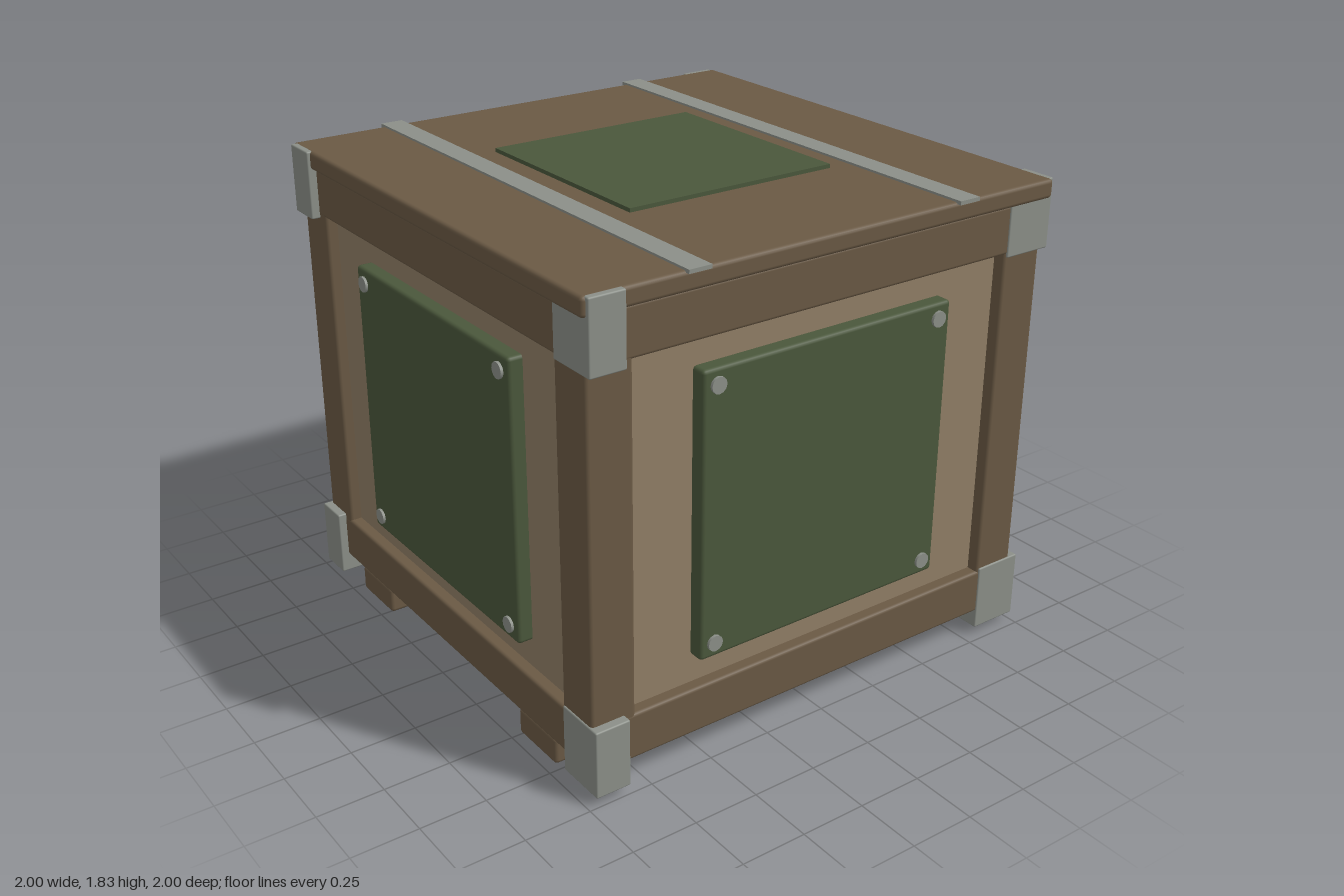
import * as THREE from 'three';
import { RoundedBoxGeometry } from 'three/addons/geometries/RoundedBoxGeometry.js';

const mat = (name, color) => {
  const m = new THREE.MeshStandardMaterial({ color });
  m.name = name;
  return m;
};

export function createModel() {
  const wood = mat('dark wood', 0x6a5944);
  const board = mat('light board', 0x907e66);
  const green = mat('green paint', 0x4a573b);
  const steel = mat('steel', 0x8b8f88);

  const root = new THREE.Group();
  root.name = 'crate';

  // Box given by its min and max corners, with optionally softened edges
  function box(parent, name, material, [x0, y0, z0], [x1, y1, z1], r = 0) {
    const w = x1 - x0, h = y1 - y0, d = z1 - z0;
    const geo = r ? new RoundedBoxGeometry(w, h, d, 2, r) : new THREE.BoxGeometry(w, h, d);
    const mesh = new THREE.Mesh(geo, material);
    mesh.name = name;
    mesh.position.set((x0 + x1) / 2, (y0 + y1) / 2, (z0 + z1) / 2);
    parent.add(mesh);
    return mesh;
  }

  // Body, floor and lid
  box(root, 'body', board, [-0.92, 0.2, -0.92], [0.92, 1.7, 0.92]);
  box(root, 'floor', wood, [-0.88, 0.12, -0.88], [0.88, 0.2, 0.88]);
  box(root, 'lid', wood, [-0.987, 1.74, -0.987], [0.987, 1.811, 0.987], 0.015);

  // Skids under the floor
  for (const z of [-0.605, 0.605]) {
    box(root, 'skid', wood, [-0.96, 0, z - 0.12], [0.96, 0.107, z + 0.12], 0.015);
  }

  // Top straps and top panel
  for (const x of [-0.565, 0.565]) {
    box(root, 'strap', steel, [x - 0.044, 1.805, -1], [x + 0.044, 1.819, 1]);
  }
  box(root, 'topPanel', green, [-0.433, 1.805, -0.433], [0.433, 1.826, 0.433]);

  // Four identical sides, each turned a quarter
  const boltGeo = new THREE.CylinderGeometry(0.03, 0.03, 0.03, 12).rotateX(Math.PI / 2);
  for (let i = 0; i < 4; i++) {
    const side = new THREE.Group();
    side.name = 'side';
    side.rotation.y = (i * Math.PI) / 2;
    root.add(side);

    box(side, 'post', wood, [0.79, 0.2, 0.79], [0.966, 1.65, 0.966], 0.014);
    box(side, 'bottomRail', wood, [-0.967, 0.106, 0.85], [0.967, 0.283, 0.967], 0.012);
    box(side, 'topRail', wood, [-0.967, 1.562, 0.85], [0.967, 1.742, 0.967], 0.012);
    box(side, 'sidePanel', green, [-0.532, 0.39, 0.9], [0.532, 1.458, 0.976], 0.014);

    for (const x of [-0.475, 0.475]) {
      for (const y of [0.448, 1.4]) {
        const bolt = new THREE.Mesh(boltGeo, steel);
        bolt.name = 'bolt';
        bolt.position.set(x, y, 0.971);
        side.add(bolt);
      }
    }

    // Corner blocks, top and bottom
    for (const y of [0.035, 1.55]) {
      box(side, 'cornerBlock', steel, [0.8, y, 0.835], [1, y + 0.26, 0.972], 0.006);
    }
  }
  return root;
}
